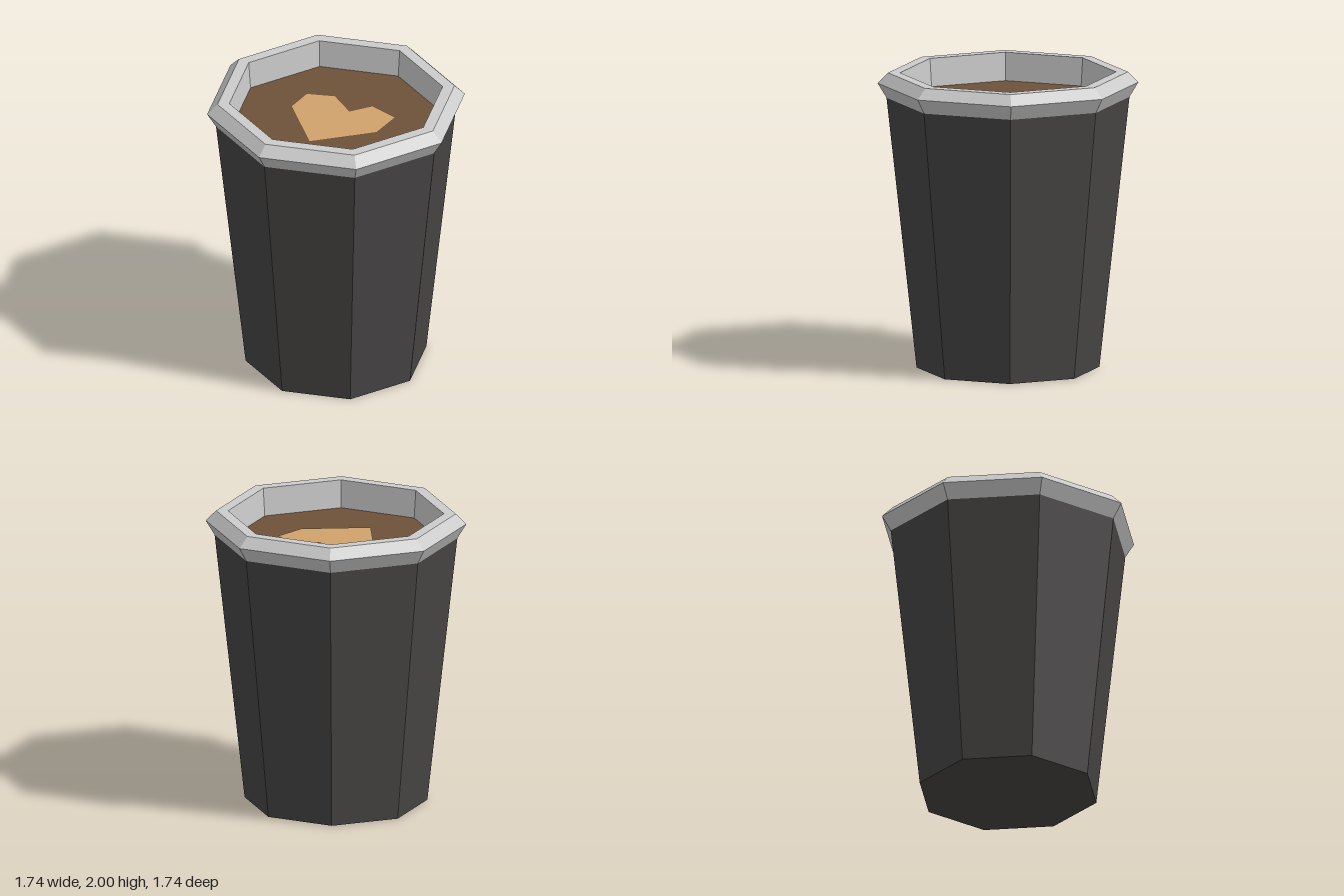
import * as THREE from 'three';

const SIDES = 8;
const COFFEE_Y = 1.81;

const material = (color) => new THREE.MeshStandardMaterial({ color, flatShading: true });

function addPart(group, name, geometry, color) {
  const mesh = new THREE.Mesh(geometry, material(color));
  mesh.name = name;
  group.add(mesh);
  return mesh;
}

// Octagonal solid of revolution from [radius, height] pairs
const turned = (profile) =>
  new THREE.LatheGeometry(profile.map(([r, y]) => new THREE.Vector2(r, y)), SIDES);

export function createModel() {
  const cup = new THREE.Group();
  cup.name = 'coffeeCup';

  // Tapered body with closed base
  addPart(cup, 'body', turned([[0, 0], [0.61, 0], [0.81, 1.83]]), 0x484645);

  // Bevelled rim, continuing down the inner wall to the drink
  addPart(cup, 'rim', turned([
    [0.81, 1.83], [0.87, 1.93], [0.8, 2], [0.72, 2], [0.705, COFFEE_Y],
  ]), 0xcccccc);

  // Drink surface
  const surface = new THREE.CircleGeometry(0.706, SIDES).rotateX(-Math.PI / 2);
  addPart(cup, 'coffee', surface, 0x6e5238).position.y = COFFEE_Y;

  // Uneven heart of milk foam lying on the drink
  const heart = new THREE.Shape([
    [0.03, -0.34], [0.32, 0.02], [0.305, 0.245], [0.1, 0.275],
    [0.015, 0.13], [-0.18, 0.235], [-0.35, 0.15], [-0.335, -0.04],
  ].map(([x, y]) => new THREE.Vector2(x, y)));
  const foam = new THREE.ShapeGeometry(heart).rotateX(-Math.PI / 2);
  addPart(cup, 'foamHeart', foam, 0xd0a26b).position.y = COFFEE_Y + 0.005;

  return cup;
}
